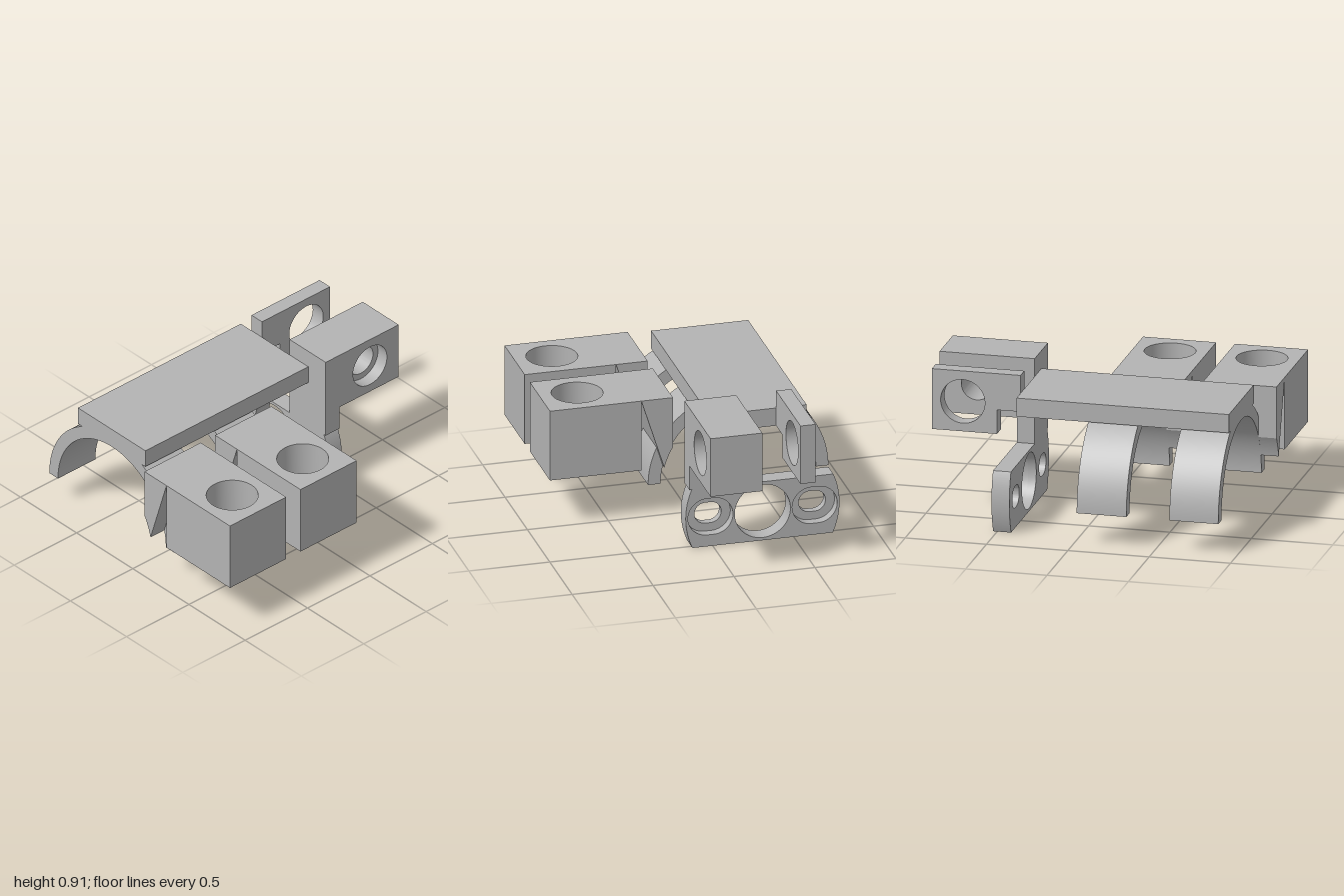
import * as THREE from 'three';
import { toCreasedNormals } from 'three/addons/utils/BufferGeometryUtils.js';

const grey = new THREE.MeshStandardMaterial({ color: 0xb3b3b3 });
grey.name = 'grey';

// Shared axis of the arches and the bracket (u = -z, y)
const CU = 0.308, CY = 0.194, INNER = 0.48, OUTER = 0.557;

function polygon(points) {
  return new THREE.Shape(points.map(([x, y]) => new THREE.Vector2(x, y)));
}

function circle(x, y, r) {
  return new THREE.Path().absarc(x, y, r, 0, Math.PI * 2, false);
}

// Stadium-shaped hole
function slot(x, y, half, r) {
  const p = new THREE.Path();
  p.absarc(x + half, y, r, -Math.PI / 2, Math.PI / 2, false);
  p.absarc(x - half, y, r, Math.PI / 2, Math.PI * 1.5, false);
  p.closePath();
  return p;
}

function extrude(shape, depth) {
  return new THREE.ExtrudeGeometry(shape, { depth, bevelEnabled: false, curveSegments: 32 });
}

function addMesh(parent, name, geometry) {
  const mesh = new THREE.Mesh(toCreasedNormals(geometry, 0.5), grey);
  mesh.name = name;
  parent.add(mesh);
}

// Profile in (x, y), extruded from z0 to z1
function addFront(parent, name, shape, z0, z1) {
  addMesh(parent, name, extrude(shape, z1 - z0).translate(0, 0, z0));
}

// Profile in (-z, y), extruded from x0 to x1
function addSide(parent, name, shape, x0, x1) {
  addMesh(parent, name, extrude(shape, x1 - x0).rotateY(Math.PI / 2).translate(x0, 0, 0));
}

// Profile in (x, -z), extruded from y0 to y1
function addTop(parent, name, shape, y0, y1) {
  addMesh(parent, name, extrude(shape, y1 - y0).rotateX(-Math.PI / 2).translate(0, y0, 0));
}

// Bracket outline: disc cut flat at top and bottom
function bracketShape(half, r) {
  const R = 0.475, top = 0.38;
  const a = Math.asin(-CY / R), b = Math.asin((top - CY) / R);
  const s = new THREE.Shape();
  s.absarc(CU, CY, R, a, b, false);
  s.absarc(CU, CY, R, Math.PI - b, Math.PI - a, false);
  s.closePath();
  s.holes.push(circle(CU, 0.19, 0.172));
  for (const side of [-1, 1]) s.holes.push(slot(CU + side * 0.322, 0.192, half, r));
  return s;
}

// L-shaped hinge block outline
function hingeShape(r) {
  const s = polygon([[0.415, 0.38], [0.525, 0.38], [0.525, 0.535], [1, 0.535], [1, 0.912], [0.415, 0.912]]);
  s.holes.push(circle(0.77, 0.722, r));
  return s;
}

export function createModel() {
  const model = new THREE.Group();
  model.name = 'clampBracket';

  // Flat plate joining everything
  addMesh(model, 'topPlate',
    new THREE.BoxGeometry(1.305, 0.115, 0.6).translate(-0.2375, 0.7425, -0.31));

  // Two half-ring arches
  const arch = new THREE.Shape();
  arch.absarc(CU, CY, OUTER, 0, Math.PI, false);
  arch.absarc(CU, CY, INNER, Math.PI, 0, true);
  arch.closePath();
  addSide(model, 'outerArch', arch, -0.89, -0.59);
  addSide(model, 'innerArch', arch, -0.325, -0.02);

  // Two bored blocks, hollowed at the back to follow the arches
  const y0 = 0.31, y1 = 0.76, back = 0.105, seam = 0.3, front = 0.865;
  for (const x of [-0.775, -0.21]) {
    const block = new THREE.Group();
    block.name = 'boredBlock';
    const w = 0.225;
    const body = polygon([[x - w, -front], [x + w, -front], [x + w, -seam], [x - w, -seam]]);
    body.holes.push(circle(x, -0.635, 0.155));
    addTop(block, 'blockBody', body, y0, y1);
    const neck = new THREE.Shape();
    neck.moveTo(-seam, y0);
    neck.absarc(CU, CY, INNER, Math.PI - Math.asin((y0 - CY) / INNER),
      Math.PI - Math.acos((CU + back) / INNER), true);
    neck.lineTo(-back, y1);
    neck.lineTo(-seam, y1);
    neck.closePath();
    addSide(block, 'blockNeck', neck, x - w, x + w);
    model.add(block);
  }

  // Side bracket with counterbored slots
  const bracket = new THREE.Group();
  bracket.name = 'sideBracket';
  addSide(bracket, 'bracketInnerLayer', bracketShape(0.016, 0.067), 0.415, 0.465);
  addSide(bracket, 'bracketOuterLayer', bracketShape(0.021, 0.118), 0.465, 0.525);
  model.add(bracket);

  // Hinge block with a counterbored hole
  const hinge = new THREE.Group();
  hinge.name = 'hingeBlock';
  addFront(hinge, 'hingeBody', hingeShape(0.096), -0.175, 0.065);
  addFront(hinge, 'hingeCounterbore', hingeShape(0.136), 0.065, 0.145);
  model.add(hinge);

  // Thin rear lug, notched beside the top plate
  const lug = polygon([[0.415, 0.685], [0.56, 0.685], [0.56, 0.535], [0.96, 0.535], [0.96, 0.912], [0.415, 0.912]]);
  lug.holes.push(circle(0.77, 0.722, 0.136));
  addFront(model, 'rearLug', lug, -0.515, -0.422);

  return model;
}
